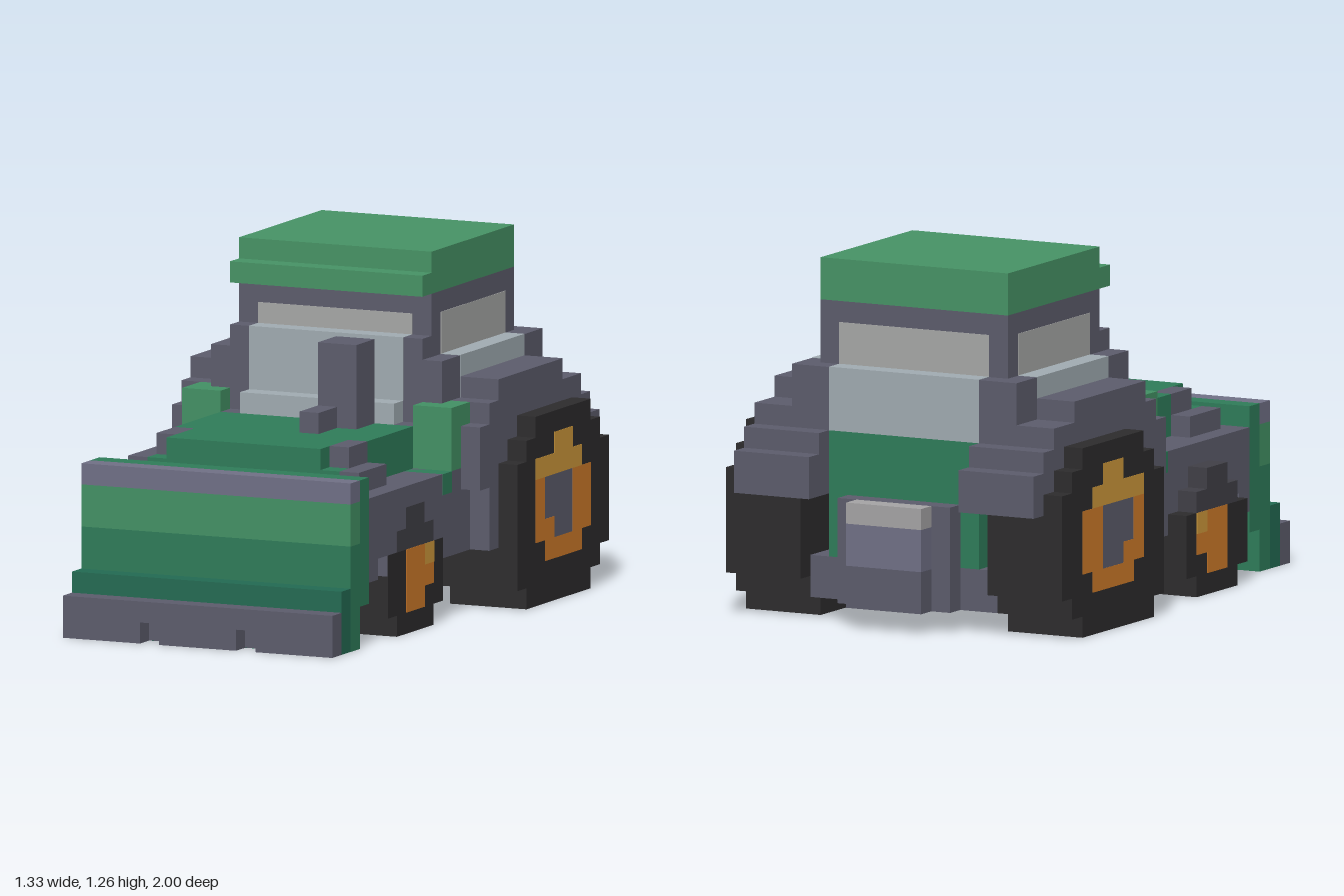
import * as THREE from 'three';

// One block of the grid; x is counted from the centre, y from the ground, k from the rear
const V = 2 / 27;
const C = {
  roof: 0x479466, green: 0x2f7d5a, lightGreen: 0x439265, deepGreen: 0x236b53,
  grey: 0x5d5d6d, paleGrey: 0x717187, darkGrey: 0x414047, black: 0x2d2c2d,
  glass: 0xa2adb3, upperGlass: 0xa8a9a8, gold: 0xd09a3c, orange: 0xd07c2a, metal: 0xa6a5a6,
};
const mats = {};
const mat = (c) => (mats[c] ??= new THREE.MeshStandardMaterial({ color: C[c], flatShading: true }));

export function createModel() {
  const root = new THREE.Group();

  function part(name) {
    const g = new THREE.Group();
    g.name = name;
    root.add(g);
    return g;
  }
  // Box between block coordinates
  function box(g, name, color, x0, x1, y0, y1, k0, k1) {
    const m = new THREE.Mesh(new THREE.BoxGeometry((x1 - x0) * V, (y1 - y0) * V, (k1 - k0) * V), mat(color));
    m.position.set((x0 + x1) / 2 * V, (y0 + y1) / 2 * V, ((k0 + k1) / 2 - 13.5) * V);
    m.name = name;
    g.add(m);
  }
  // The same box on both sides
  function pair(g, name, color, x0, x1, ...rest) {
    box(g, name, color, x0, x1, ...rest);
    box(g, name, color, -x1, -x0, ...rest);
  }
  // A box on the side given by s
  const sided = (g, s, name, color, a, b, ...rest) =>
    box(g, name, color, Math.min(s * a, s * b), Math.max(s * a, s * b), ...rest);

  // Chassis and bonnet
  const body = part('body');
  box(body, 'chassis', 'grey', -5, 5, 1, 3, 2, 21);
  box(body, 'engineBlock', 'green', -4, 4, 3, 9, 13, 22);
  box(body, 'noseLamp', 'metal', -4, 4, 2, 3, 21, 22);
  box(body, 'rearPanel', 'green', -4, 4, 3, 9, 2, 13);
  pair(body, 'bonnetSide', 'green', 4, 5, 7, 9, 14, 19);
  pair(body, 'noseSide', 'green', 4, 5, 3, 8, 21, 22);
  pair(body, 'bonnetBracket', 'grey', 4, 5, 8, 9, 19, 21);
  pair(body, 'bracketFoot', 'grey', 4, 6, 7, 8, 19, 21);
  pair(body, 'noseBracket', 'grey', 5, 6, 4, 8, 21, 22);
  pair(body, 'sideTank', 'lightGreen', 5, 7, 7, 10, 12, 14);
  pair(body, 'tankFoot', 'green', 5, 7.02, 6, 7, 14, 15);

  // Exhaust
  const exhaust = part('exhaust');
  box(exhaust, 'exhaustStack', 'grey', 1, 3, 9, 13, 14, 16);
  box(exhaust, 'exhaustStub', 'grey', 1, 2, 9, 10, 16, 18);

  // Lifting arms and blade
  const blade = part('frontBlade');
  pair(blade, 'liftArm', 'grey', 4, 7, 3, 7, 13, 21);
  pair(blade, 'armBridge', 'grey', 5, 7, 4, 7, 21, 22);
  pair(blade, 'armTip', 'grey', 5, 7, 3, 7, 22, 23);
  box(blade, 'bladeBack', 'green', -7, 7, 2, 8, 23, 24);
  box(blade, 'bladeFace', 'lightGreen', -7, 7, 5, 7, 24, 25);
  box(blade, 'bladeFaceLower', 'green', -7, 7, 0, 5, 24, 25);
  box(blade, 'bladeRim', 'paleGrey', -7, 7, 7, 8, 24, 25);
  box(blade, 'bladeCurve', 'deepGreen', -7, 7, 0, 3, 25, 26);
  box(blade, 'cuttingEdge', 'grey', -7, 7, 1, 2, 26, 27);
  for (const [a, b] of [[-7, -3], [-2, 2], [3, 7]])
    box(blade, 'cuttingTooth', 'grey', a, b, 0, 1, 26, 27);
  pair(blade, 'notchBack', 'grey', 2, 3, 0.01, 1, 25.9, 26.02);

  // Cab: lower tier, upper tier, glazing and roof
  const cab = part('cab');
  box(cab, 'lowerCab', 'grey', -6, 6, 9, 12, 2.04, 12);
  pair(cab, 'cabFlank', 'grey', 4, 6, 6, 12, 2, 12);
  box(cab, 'frontFrame', 'grey', -5, 5, 9, 13, 12, 12.97);
  pair(cab, 'frontCorner', 'grey', 5, 6, 9, 12, 12, 12.97);
  pair(cab, 'frontFoot', 'grey', 4, 5, 5, 9, 13, 14);
  box(cab, 'upperCab', 'grey', -5, 5, 12, 15, 3, 12);
  box(cab, 'windscreenLedge', 'glass', -4, 4, 9, 10, 13, 14);
  box(cab, 'windscreen', 'glass', -4, 4, 10, 13.01, 12, 13.01);
  box(cab, 'upperWindscreen', 'upperGlass', -4, 4, 13, 14, 11.9, 12.03);
  box(cab, 'rearWindow', 'glass', -4, 4, 9, 12.02, 1.98, 3);
  box(cab, 'upperRearWindow', 'upperGlass', -4, 4, 12, 14, 2.97, 3.1);
  pair(cab, 'sideWindow', 'glass', 5, 6.02, 9, 12.02, 4, 11);
  pair(cab, 'upperSideWindow', 'upperGlass', 4.9, 5.03, 12, 14, 4, 11);
  box(cab, 'roof', 'roof', -5, 5, 15, 17, 3, 12);
  box(cab, 'roofBrow', 'roof', -5, 5, 15, 16, 12, 13);

  // Rear hitch
  const hitch = part('hitch');
  box(hitch, 'hitchPlate', 'grey', -3, 3, 1, 6, 1, 2);
  box(hitch, 'hitchBox', 'grey', -2, 2, 1, 3, 0, 1);
  box(hitch, 'hitchBand', 'paleGrey', -2, 2, 3, 5, 0, 1);
  box(hitch, 'hitchCap', 'metal', -2, 2, 5, 6, 0, 1);

  // Rear fenders, stepped over the tyres
  const fenders = part('rearFenders');
  pair(fenders, 'fenderTop', 'grey', 5.9, 8, 10, 11, 4, 11);
  pair(fenders, 'fenderShoulder', 'grey', 5.9, 8, 9, 10, 2, 12);
  pair(fenders, 'fenderRearStep', 'grey', 4, 8, 8, 9, 1, 3);
  pair(fenders, 'fenderTail', 'grey', 4, 8, 6, 8, 0, 2);
  pair(fenders, 'fenderFrontStep', 'grey', 5, 8, 8, 9, 9, 11);
  pair(fenders, 'fenderFrontInner', 'grey', 5, 8, 7, 8, 10, 11);
  pair(fenders, 'fenderFront', 'grey', 4, 8, 3, 9, 11, 12);
  pair(fenders, 'fenderFrontLip', 'grey', 4, 8, 6, 9, 12, 13);
  pair(fenders, 'fenderFrontFoot', 'grey', 4, 7, 3, 6, 12, 13);

  // Wheels: rows of [y0, y1, k0, k1] stack into a stepped disc
  const rearRows = [[0, 1, 3, 10], [1, 2, 2, 11], [2, 7, 1, 11], [7, 8, 2, 10], [8, 9, 3, 9]];
  const rearHub = [[2, 3, 4, 8], [3, 6, 3, 5], [3, 6, 8, 9], [3, 4, 7, 8], [6, 7, 4, 9], [7, 8, 5, 7]];
  const frontRows = [[0, 1, 16, 20], [1, 4, 15, 21], [4, 5, 16, 20], [5, 6, 17, 19]];
  const frontHub = [[1, 2, 17, 19], [2, 4, 16, 19]];
  for (const s of [1, -1]) {
    const rear = part(s > 0 ? 'rearWheelLeft' : 'rearWheelRight');
    for (const r of rearRows) sided(rear, s, 'rearTyre', 'black', 5, 8.98, ...r);
    for (const r of rearHub) sided(rear, s, 'rearRim', r[0] >= 6 ? 'gold' : 'orange', 8.9, 9, ...r);
    sided(rear, s, 'rearHubCentre', 'grey', 8.9, 8.99, 3, 6, 5, 8);

    // The right front wheel stands one block further out
    const out = s > 0 ? 7.02 : 8;
    const front = part(s > 0 ? 'frontWheelLeft' : 'frontWheelRight');
    for (const r of frontRows) sided(front, s, 'frontTyre', r[0] >= 4 ? 'darkGrey' : 'black', 5, out, ...r);
    for (const r of frontHub) sided(front, s, 'frontRim', 'orange', out - 0.1, out + 0.02, ...r);
    sided(front, s, 'frontRimHighlight', 'gold', out - 0.1, out + 0.03, 3, 4, 16, 17);
  }
  return root;
}
